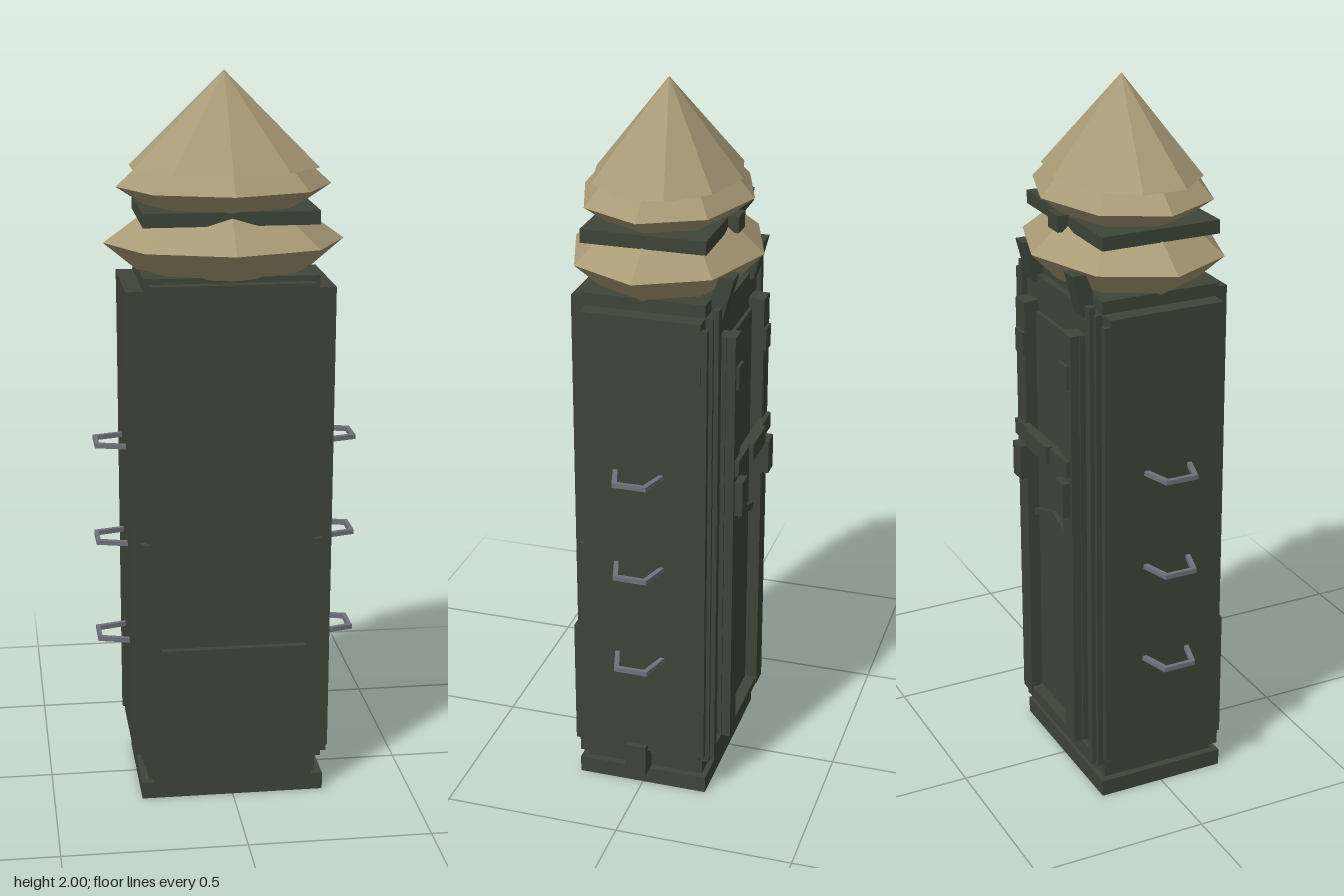
import * as THREE from 'three';

export function createModel() {
  const root = new THREE.Group();
  root.name = 'pack';
  const mat = (name, color) => {
    const m = new THREE.MeshStandardMaterial({ color, flatShading: true });
    m.name = name;
    return m;
  };
  const green = mat('dark green cloth', 0x3e4538);
  const tan = mat('tan cloth', 0xa99b76);
  const steel = mat('grey steel', 0x6f727b);

  const add = (name, geometry, material = green) => {
    const mesh = new THREE.Mesh(geometry, material);
    mesh.name = name;
    root.add(mesh);
    return mesh;
  };
  // Box given by its limits on each axis
  const box = (name, x0, x1, y0, y1, z0, z1) => {
    const g = new THREE.BoxGeometry(x1 - x0, y1 - y0, z1 - z0);
    g.translate((x0 + x1) / 2, (y0 + y1) / 2, (z0 + z1) / 2);
    return add(name, g);
  };
  // The same box on the left and the right
  const pair = (name, x0, x1, ...rest) => {
    box(name + 'Left', x0, x1, ...rest);
    box(name + 'Right', -x1, -x0, ...rest);
  };
  // Faceted oval frustum
  const frustum = (name, rTop, rBottom, y0, y1, sides, depth) => {
    const g = new THREE.CylinderGeometry(rTop, rBottom, y1 - y0, sides);
    g.scale(1, 1, depth);
    g.translate(0, (y0 + y1) / 2, 0);
    add(name, g, tan);
  };
  // Prism: outline in (z, y), extruded along x
  const sidePrism = (name, points, x0, x1) => {
    const shape = new THREE.Shape(points.map(([z, y]) => new THREE.Vector2(-z, y)));
    const g = new THREE.ExtrudeGeometry(shape, { depth: x1 - x0, bevelEnabled: false });
    g.rotateY(Math.PI / 2);
    g.translate(x0, 0, 0);
    add(name, g);
  };

  // Main body and base
  box('base', -0.255, 0.255, 0, 0.048, -0.185, 0.188);
  box('body', -0.235, 0.235, 0.04, 1.475, -0.17, 0.168);
  box('frontPanel', -0.222, 0.222, 0.05, 1.46, 0.15, 0.2);
  box('frontPocket', -0.2, 0.2, 0.075, 0.45, 0.19, 0.22);
  pair('frontEdge', 0.215, 0.25, 0.1, 0.745, 0.15, 0.182);

  // Side panels, slightly wider at the top
  for (const s of [1, -1]) {
    const g = new THREE.BoxGeometry(0.05, 1.32, 0.327);
    g.translate(s * 0.249, 0.78, -0.0065);
    const p = g.attributes.position;
    for (let i = 0; i < p.count; i++) {
      if (p.getY(i) > 1 && s * p.getX(i) > 0.25) p.setX(i, s * 0.282);
    }
    add(s > 0 ? 'sidePanelLeft' : 'sidePanelRight', g);
  }
  pair('sideLower', 0.22, 0.252, 0.1, 1.4, -0.165, 0.15);
  pair('sideSeam', 0.262, 0.28, 0.13, 1.42, -0.187, -0.165);
  box('sideLug', 0.235, 0.292, 0.048, 0.14, -0.02, 0.04);

  // Back panel, frame and padding
  box('backPanel', -0.235, 0.235, 0.09, 1.44, -0.19, -0.165);
  pair('backRail', 0.2, 0.225, 0.1, 1.46, -0.203, -0.185);
  box('backLowerRail', -0.22, 0.22, 0.09, 0.135, -0.203, -0.185);
  pair('shoulderStrap', 0.118, 0.176, 0.15, 1.37, -0.235, -0.208);
  pair('strapSpacer', 0.125, 0.18, 0.15, 1.37, -0.21, -0.185);
  box('backCenter', -0.12, 0.12, 0.16, 1.34, -0.2, -0.185);
  box('strapFoot', -0.176, 0.176, 0.148, 0.17, -0.232, -0.195);
  pair('upperBuckle', 0.115, 0.165, 1.22, 1.285, -0.243, -0.23);
  pair('lowerBuckle', 0.115, 0.165, 0.85, 0.95, -0.257, -0.23);
  box('chestStrap', -0.17, 0.17, 0.97, 1.015, -0.247, -0.225);
  box('chestBuckle', -0.065, 0.065, 0.97, 1.02, -0.26, -0.24);

  // Chevron seam across the back
  const chevron = new THREE.Shape([[-0.12, 0.73], [0, 0.77], [0.12, 0.73], [0.12, 0.75], [0, 0.79], [-0.12, 0.75]]
    .map(([x, y]) => new THREE.Vector2(x, y)));
  const chevronGeo = new THREE.ExtrudeGeometry(chevron, { depth: 0.02, bevelEnabled: false });
  chevronGeo.translate(0, 0, -0.215);
  add('backChevron', chevronGeo);

  // Straps sloping up to the cap
  for (const s of [1, -1]) {
    sidePrism('loadStrap', [[-0.165, 1.47], [-0.168, 1.42], [-0.2, 1.42], [-0.23, 1.535], [-0.19, 1.535]],
      s * 0.155 - 0.025, s * 0.155 + 0.025);
  }

  // Stacked folds and pointed top
  frustum('lowerFoldBottom', 0.328, 0.235, 1.468, 1.545, 8, 0.8);
  frustum('lowerFoldTop', 0.19, 0.328, 1.545, 1.645, 8, 0.8);
  box('neckBand', -0.235, 0.235, 1.61, 1.647, -0.17, 0.168);
  box('neckBuckle', -0.03, 0.03, 1.605, 1.65, -0.2, -0.165);
  frustum('upperFoldBottom', 0.292, 0.215, 1.645, 1.695, 8, 0.8);
  frustum('upperFoldTop', 0.235, 0.292, 1.695, 1.747, 8, 0.8);
  frustum('pointedTop', 0, 0.263, 1.745, 2, 10, 0.762);

  // Three steel loops on each side
  const outline = (x0, x1, z0, z1) => [[x0, z0], [x1, z1], [x1, -z1], [x0, -z0]];
  const loopPoints = [...outline(0.265, 0.362, 0.075, 0.047), ...outline(0.265, 0.35, 0.062, 0.036).reverse()];
  for (const y of [0.43, 0.715, 0.993]) {
    for (const s of [1, -1]) {
      const shape = new THREE.Shape(loopPoints.map(([x, z]) => new THREE.Vector2(s * x, z)));
      const g = new THREE.ExtrudeGeometry(shape, { depth: 0.013, bevelEnabled: false });
      g.rotateX(-Math.PI / 2);
      g.translate(0, y - 0.0065, 0);
      add(s > 0 ? 'sideLoopLeft' : 'sideLoopRight', g, steel);
    }
  }
  return root;
}
